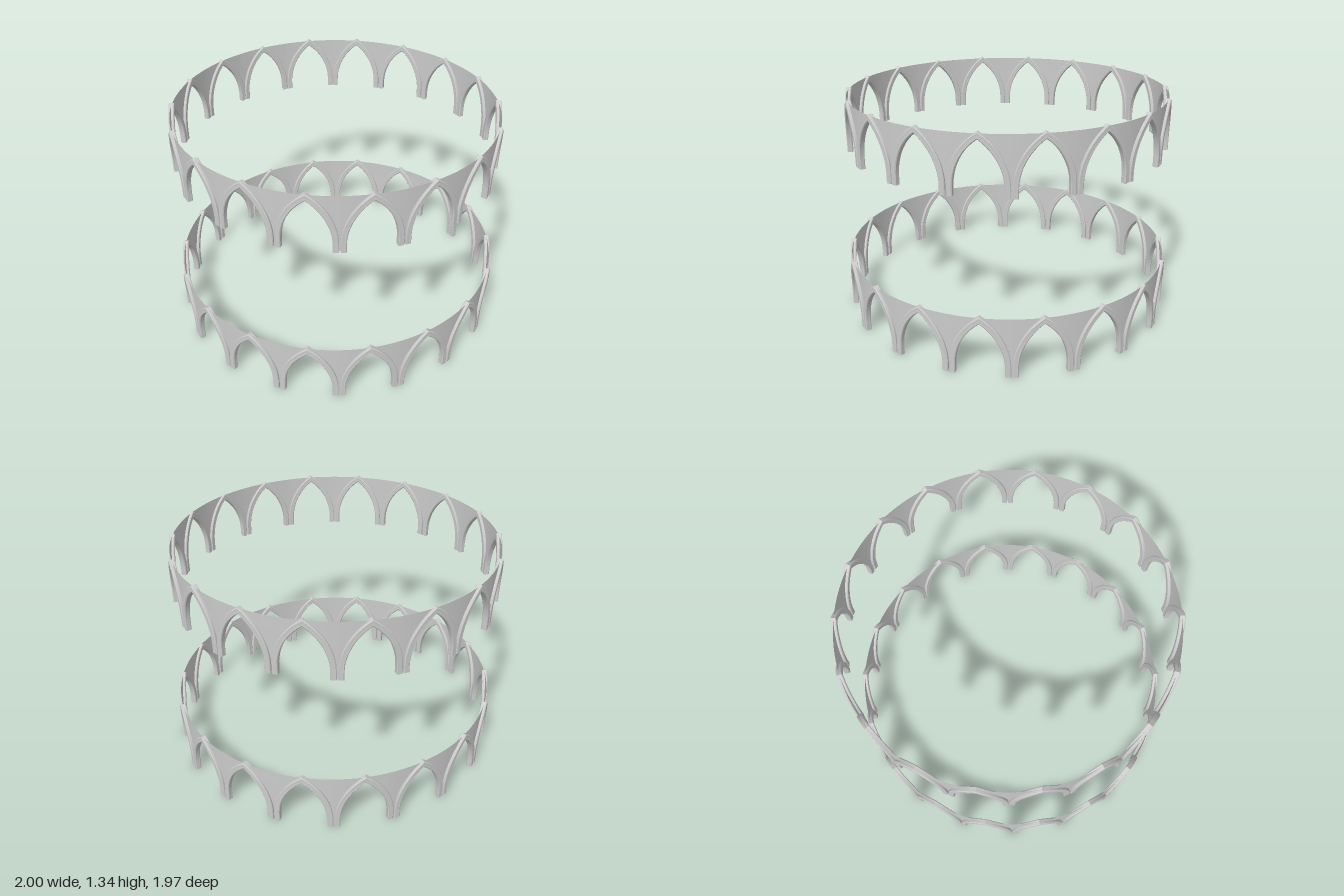
import * as THREE from 'three';
import { toCreasedNormals } from 'three/addons/utils/BufferGeometryUtils.js';

const ARCHES = 18;
const RADIUS = 0.983;                      // middle of the arcade wall
const PITCH = RADIUS * Math.PI / ARCHES;   // half the width of one bay
const HALF = 0.152;                        // rib axis to middle of arch
const SPRING = 0.05, APEX = 0.338, TOP = 0.346;

// Wraps a flat point (along wall, height, depth) round the ring
function wrap(s, y, d = 0) {
  const a = s / RADIUS, r = RADIUS + d;
  return [r * Math.sin(a), y, r * Math.cos(a)];
}

// Left half of the pointed arch, foot to apex: { s, y, normal }
function halfArch(steps = 14) {
  const rise = APEX - SPRING;
  const r = (HALF * HALF + rise * rise) / (2 * HALF);
  const end = Math.asin(rise / r);
  const points = [{ s: -HALF, y: 0, n: [-1, 0] }];
  for (let i = 0; i <= steps; i++) {
    const a = end * i / steps;
    points.push({
      s: r - HALF - r * Math.cos(a),
      y: SPRING + r * Math.sin(a),
      n: [-Math.cos(a), Math.sin(a)],
    });
  }
  // mitre where both halves meet
  points[points.length - 1] = { s: 0, y: APEX, n: [0, 1 / Math.sin(end)] };
  return points;
}

function buildGeometry(positions, index) {
  const g = new THREE.BufferGeometry();
  g.setAttribute('position', new THREE.Float32BufferAttribute(positions, 3));
  g.setIndex(index);
  g.computeVertexNormals();
  return g;
}

// Moulded rib: four-lobed section swept along the whole arch
function ribGeometry() {
  const left = halfArch();
  const right = left.slice(0, -1).reverse()
    .map(p => ({ s: -p.s, y: p.y, n: [-p.n[0], p.n[1]] }));
  const path = [...left, ...right];
  const sides = 20, positions = [], index = [];
  for (const p of path) {
    for (let j = 0; j < sides; j++) {
      const t = j / sides * Math.PI * 2;
      const r = 0.0185 - 0.0027 * Math.cos(4 * t);
      const across = r * Math.cos(t), depth = r * Math.sin(t);
      positions.push(...wrap(p.s + p.n[0] * across, p.y + p.n[1] * across, depth));
    }
  }
  for (let i = 0; i < path.length - 1; i++) {
    for (let j = 0; j < sides; j++) {
      const k = (j + 1) % sides;
      const a = i * sides + j, b = i * sides + k;
      const c = a + sides, d = b + sides;
      index.push(a, b, c, b, d, c);
    }
  }
  // flat feet
  const first = positions.length / 3, last = (path.length - 1) * sides;
  positions.push(...wrap(-HALF, 0), ...wrap(HALF, 0));
  for (let j = 0; j < sides; j++) {
    const k = (j + 1) % sides;
    index.push(first, k, j, first + 1, last + j, last + k);
  }
  return toCreasedNormals(buildGeometry(positions, index), 0.7);
}

// Thin wall filling one bay above the arch, on the given side
function spandrelGeometry(side) {
  const rows = [...halfArch(), { s: 0, y: TOP }];
  const cols = 4, positions = [], index = [];
  for (const p of rows) {
    for (let j = 0; j <= cols; j++) {
      const s = p.s + (-PITCH - p.s) * j / cols;
      positions.push(...wrap(side * -s, p.y));
    }
  }
  for (let i = 0; i < rows.length - 1; i++) {
    for (let j = 0; j < cols; j++) {
      const a = i * (cols + 1) + j, b = a + 1, c = a + cols + 1, d = c + 1;
      if (side > 0) index.push(a, b, c, b, d, c);
      else index.push(a, c, b, b, c, d);
    }
  }
  return buildGeometry(positions, index);
}

export function createModel() {
  const model = new THREE.Group();
  model.name = 'archedRings';
  const stone = new THREE.MeshStandardMaterial({ color: 0xcccccc });
  const wall = new THREE.MeshStandardMaterial({ color: 0xcccccc, side: THREE.DoubleSide });
  const rib = ribGeometry();
  const spandrels = [spandrelGeometry(1), spandrelGeometry(-1)];

  function arcade(name) {
    const ring = new THREE.Group();
    ring.name = name;
    for (let i = 0; i < ARCHES; i++) {
      const bay = new THREE.Group();
      bay.name = 'archBay';
      const arch = new THREE.Mesh(rib, stone);
      arch.name = 'archRib';
      bay.add(arch);
      for (const g of spandrels) {
        const panel = new THREE.Mesh(g, wall);
        panel.name = 'spandrelPanel';
        bay.add(panel);
      }
      bay.rotation.y = THREE.MathUtils.degToRad(-4.1 + i * 360 / ARCHES);
      ring.add(bay);
    }
    model.add(ring);
    return ring;
  }

  // Lower ring is slightly oval, upper ring a little smaller and set back
  const lower = arcade('lowerArcade');
  lower.scale.set(1, 1, 0.983);
  const upper = arcade('upperArcade');
  upper.scale.set(0.953, 0.945, 0.957);
  upper.position.set(-0.001, 1, -0.0125);
  return model;
}
